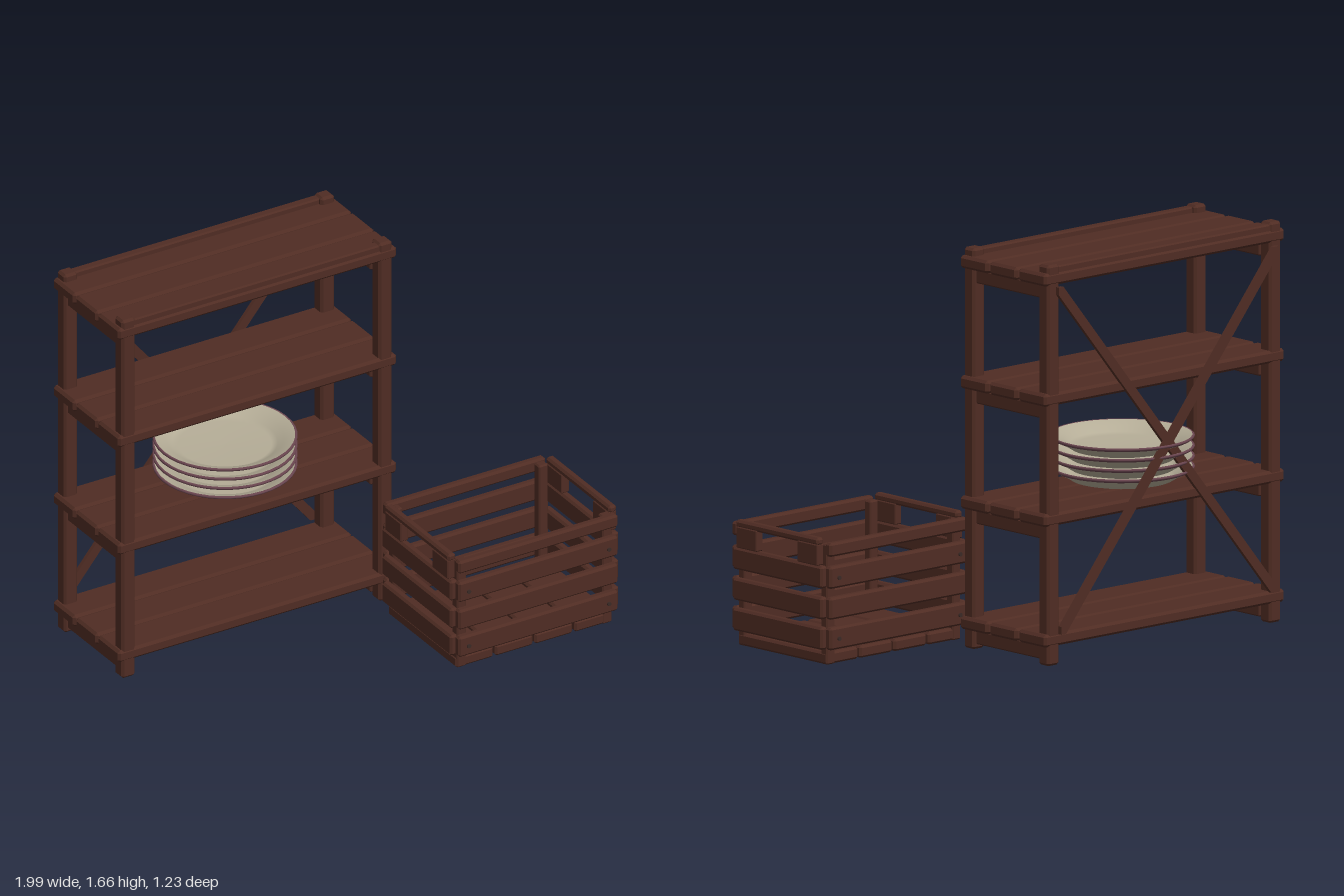
import * as THREE from 'three';
import { ConvexGeometry } from 'three/addons/geometries/ConvexGeometry.js';

const wood = new THREE.MeshStandardMaterial({ name: 'dark wood', color: 0x4f2c23 });
const nailMetal = new THREE.MeshStandardMaterial({ name: 'dark nail', color: 0x3a2a26 });
const ceramic = new THREE.MeshStandardMaterial({ name: 'cream ceramic', color: 0xb5ad97 });
const rimPaint = new THREE.MeshStandardMaterial({ name: 'plum rim', color: 0x6b4650 });

// Plank with chamfered edges, given by its minimum and maximum on each axis
function plank(parent, name, [x0, x1], [y0, y1], [z0, z1], c = 0.009) {
  const half = [(x1 - x0) / 2, (y1 - y0) / 2, (z1 - z0) / 2];
  const points = [];
  for (const sx of [-1, 1]) for (const sy of [-1, 1]) for (const sz of [-1, 1]) {
    for (let flush = 0; flush < 3; flush++) {
      const s = [sx, sy, sz];
      points.push(new THREE.Vector3(...half.map((h, i) => s[i] * (i === flush ? h : h - c))));
    }
  }
  const mesh = new THREE.Mesh(new ConvexGeometry(points), wood);
  mesh.name = name;
  mesh.position.set((x0 + x1) / 2, (y0 + y1) / 2, (z0 + z1) / 2);
  parent.add(mesh);
  return mesh;
}

function buildShelf() {
  const shelf = new THREE.Group();
  shelf.name = 'shelfUnit';
  const postX = [[-0.98, -0.915], [0.245, 0.31]];
  const postZ = [[-0.128, -0.065], [-0.575, -0.512]];

  for (const x of postX) for (const z of postZ) plank(shelf, 'cornerPost', x, [0, 1.665], z, 0.01);

  for (let i = 0; i < 4; i++) {
    const y = 0.08 + i * 0.5;
    // Three boards on a pair of side rails
    for (const z of [[-0.23, -0.062], [-0.403, -0.238], [-0.578, -0.412]])
      plank(shelf, 'shelfBoard', [-0.998, 0.33], [y, y + 0.053], z, 0.011);
    plank(shelf, 'sideRail', [-0.965, -0.907], [y - 0.06, y], [-0.52, -0.12], 0.006);
    plank(shelf, 'sideRail', [0.237, 0.295], [y - 0.06, y], [-0.52, -0.12], 0.006);
  }

  // Raised lips joining the post tops
  for (const z of [[-0.11, -0.07], [-0.57, -0.53]])
    plank(shelf, 'topLip', [-0.95, 0.28], [1.61, 1.657], z, 0.006);

  // Crossed back braces with ends trimmed to the frame
  const w = 0.6, h = 0.72, tx = 0.026, ty = 0.032;
  for (const [side, z] of [[1, -0.592], [-1, -0.607]]) {
    const corners = [[-w, -h], [-w + tx, -h], [w, h - ty], [w, h], [w - tx, h], [-w, -h + ty]];
    if (side < 0) corners.forEach((p) => { p[0] *= -1; });
    const shape = new THREE.Shape(corners.map(([x, y]) => new THREE.Vector2(x, y)));
    const brace = new THREE.Mesh(
      new THREE.ExtrudeGeometry(shape, { depth: 0.017, bevelEnabled: false }), wood);
    brace.name = 'backBrace';
    brace.position.set(-0.333, 0.852, z);
    shelf.add(brace);
  }
  return shelf;
}

function buildPlates() {
  const stack = new THREE.Group();
  stack.name = 'plateStack';
  const lathe = (profile) =>
    new THREE.LatheGeometry(profile.map(([r, y]) => new THREE.Vector2(r, y)), 40);
  const parts = [
    ['plateUnderside', ceramic, lathe([[0, 0.006], [0.13, 0.006], [0.135, 0], [0.15, 0],
      [0.155, 0.008], [0.21, 0.014], [0.245, 0.036], [0.285, 0.054]])],
    ['plateRim', rimPaint, lathe([[0.285, 0.054], [0.294, 0.06], [0.296, 0.066], [0.292, 0.07], [0.286, 0.069]])],
    ['plateInside', ceramic, lathe([[0.286, 0.069], [0.24, 0.052], [0.215, 0.032], [0.19, 0.024], [0, 0.022]])],
  ];
  for (let i = 0; i < 4; i++) {
    const plate = new THREE.Group();
    plate.name = 'plate';
    plate.position.set(-0.335, 0.635 + i * 0.043, -0.318);
    for (const [name, material, geometry] of parts) {
      const mesh = new THREE.Mesh(geometry, material);
      mesh.name = name;
      plate.add(mesh);
    }
    stack.add(plate);
  }
  return stack;
}

function buildCrate() {
  const crate = new THREE.Group();
  crate.name = 'crate';
  const slatY = [[0.07, 0.163], [0.197, 0.288], [0.325, 0.417]];
  const frontBack = [[0.572, 0.608], [0.01, 0.046]];
  const sides = [[0.19, 0.228], [0.957, 0.995]];

  // Floor
  for (let i = 0; i < 4; i++) {
    const x = 0.218 + i * 0.189;
    plank(crate, 'floorSlat', [x, x + 0.18], [0.005, 0.055], [0.045, 0.575]);
  }

  // Corner posts
  for (const x of [[0.222, 0.268], [0.917, 0.963]])
    for (const z of [[0.042, 0.082], [0.536, 0.576]])
      plank(crate, 'cratePost', x, [0.005, 0.505], z, 0.006);

  // Long walls with nails
  for (const z of frontBack) {
    for (const y of [...slatY, [0.458, 0.515]]) plank(crate, 'longSlat', [0.212, 0.973], y, z);
    const outer = z[0] > 0.3 ? z[1] : z[0];
    for (const x of [0.258, 0.927]) for (const y of [0.115, 0.368]) {
      const nail = new THREE.Mesh(new THREE.CylinderGeometry(0.009, 0.009, 0.012, 10), nailMetal);
      nail.name = 'nail';
      nail.rotation.x = Math.PI / 2;
      nail.position.set(x, y, outer);
      crate.add(nail);
    }
  }

  // Short walls, open at the top for a hand hold
  for (const x of sides) {
    for (const y of slatY) plank(crate, 'shortSlat', x, y, [0.042, 0.578]);
    plank(crate, 'handleBar', x, [0.5, 0.532], [0.065, 0.56]);
    for (const z of [[0.068, 0.19], [0.432, 0.555]])
      plank(crate, 'handleBlock', x, [0.417, 0.505], z, 0.004);
  }
  return crate;
}

export function createModel() {
  const model = new THREE.Group();
  model.name = 'shelfWithCrateAndPlates';
  model.add(buildShelf(), buildPlates(), buildCrate());
  return model;
}
